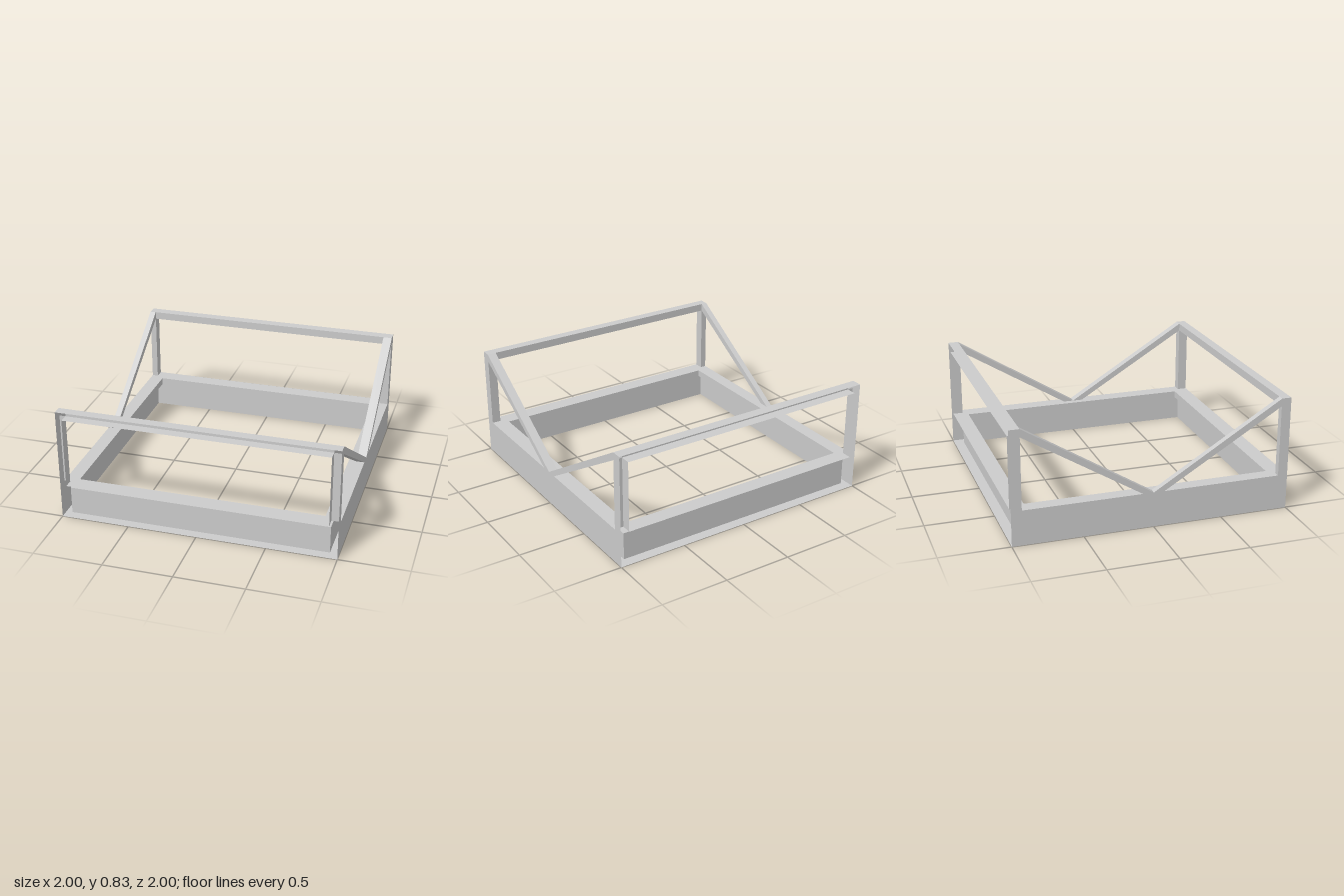
import * as THREE from 'three';

// Open-ended sheet-metal frame: every member is a hollow box without its outer front/back face.
const material = new THREE.MeshStandardMaterial({ color: 0xcccccc, side: THREE.DoubleSide, flatShading: true });

const TOP = 0.83, BAR = 0.773, DECK = 0.255, LEDGE = 0.203;
const WALL = { x0: -0.955, x1: 0.935, z0: -0.925, z1: 0.93 };  // inner faces of the members
const LIP = { x0: -0.9, x1: 0.885, z0: -0.887, z1: 0.882 };    // inner edge of the deck

const rect = (r) => [[r.x0, r.z0], [r.x1, r.z0], [r.x1, r.z1], [r.x0, r.z1]];
const toPoints = (list) => list.map(([a, b]) => new THREE.Vector2(a, b));

export function createModel() {
  const model = new THREE.Group();
  model.name = 'frame';

  const add = (name, geometry) => {
    const mesh = new THREE.Mesh(geometry, material);
    mesh.name = name;
    model.add(mesh);
    return mesh;
  };

  // Flat outline with holes
  const outline = (points, holes = []) => {
    const shape = new THREE.Shape(toPoints(points));
    holes.forEach((h) => shape.holes.push(new THREE.Path(toPoints(h))));
    return new THREE.ShapeGeometry(shape);
  };
  // Horizontal plate from (x, z) points
  const level = (name, y, points, holes) =>
    add(name, outline(points, holes).rotateX(Math.PI / 2).translate(0, y, 0));
  // Upright plate across x from (z, y) points
  const upright = (name, x, points, holes) =>
    add(name, outline(points, holes).rotateY(-Math.PI / 2).translate(x, 0, 0));
  // Four-cornered panel
  const panel = (name, a, b, c, d) => {
    const g = new THREE.BufferGeometry();
    g.setAttribute('position', new THREE.Float32BufferAttribute([a, b, c, a, c, d].flat(), 3));
    g.computeVertexNormals();
    return add(name, g);
  };
  // Panel running across x between two (z, y) points
  const across = (name, x0, x1, [za, ya], [zb, yb]) =>
    panel(name, [x0, ya, za], [x1, ya, za], [x1, yb, zb], [x0, yb, zb]);
  // Four walls around a rectangle
  const walls = (name, r, y0, y1) => {
    const p = rect(r);
    p.forEach(([x, z], i) => {
      const [u, w] = p[(i + 1) % 4];
      panel(name, [x, y0, z], [u, y0, w], [u, y1, w], [x, y1, z]);
    });
  };

  // Base ring: bottom, walls, ledge, lip, and deck notched at the posts
  const square = [[-1, -1], [1, -1], [1, 1], [-1, 1]];
  level('baseBottom', 0, square, [rect(WALL)]);
  walls('baseWall', WALL, 0, LEDGE);
  level('baseLedge', LEDGE, rect(WALL), [rect(LIP)]);
  walls('baseLip', LIP, LEDGE, DECK);
  const { x0, x1, z0, z1 } = WALL;
  level('baseDeck', DECK, [
    [x0, -1], [x1, -1], [x1, z0], [1, z0], [1, z1], [x1, z1],
    [x1, 1], [x0, 1], [x0, z1], [-1, z1], [-1, z0], [x0, z0],
  ], [rect(LIP)]);

  // Outer side plates with a triangular opening on each half
  const silhouette = [[-1, 0], [1, 0], [1, TOP], [z1, TOP], [0, DECK], [z0, TOP], [-1, TOP]];
  const openings = [z0, z1].map((z) => [[z, BAR], [z, DECK], [Math.sign(z) * 0.077, DECK]]);
  for (const x of [-1, 1]) upright('sidePlate', x, silhouette, openings);

  for (const z of [z0, z1]) {
    const end = Math.sign(z), foot = end * 0.077;

    // Top bar, an open channel between the posts
    across('topBarTop', -1, 1, [z, TOP], [end, TOP]);
    across('topBarBottom', x0, x1, [z, BAR], [end, BAR]);
    across('topBarWeb', x0, x1, [z, BAR], [z, TOP]);

    for (const x of [x0, x1]) {
      const outer = Math.sign(x);
      // Corner post
      across('postWeb', x, outer, [z, DECK], [z, BAR]);
      upright('postInnerFace', x, [[z, DECK], [end, DECK], [end, BAR], [z, BAR]]);
      // Diagonal brace
      across('braceTop', x, outer, [z, TOP], [0, DECK]);
      across('braceBottom', x, outer, [z, BAR], [foot, DECK]);
      upright('braceInnerFace', x, [[z, TOP], [z, BAR], [foot, DECK], [0, DECK]]);
    }
  }
  return model;
}
